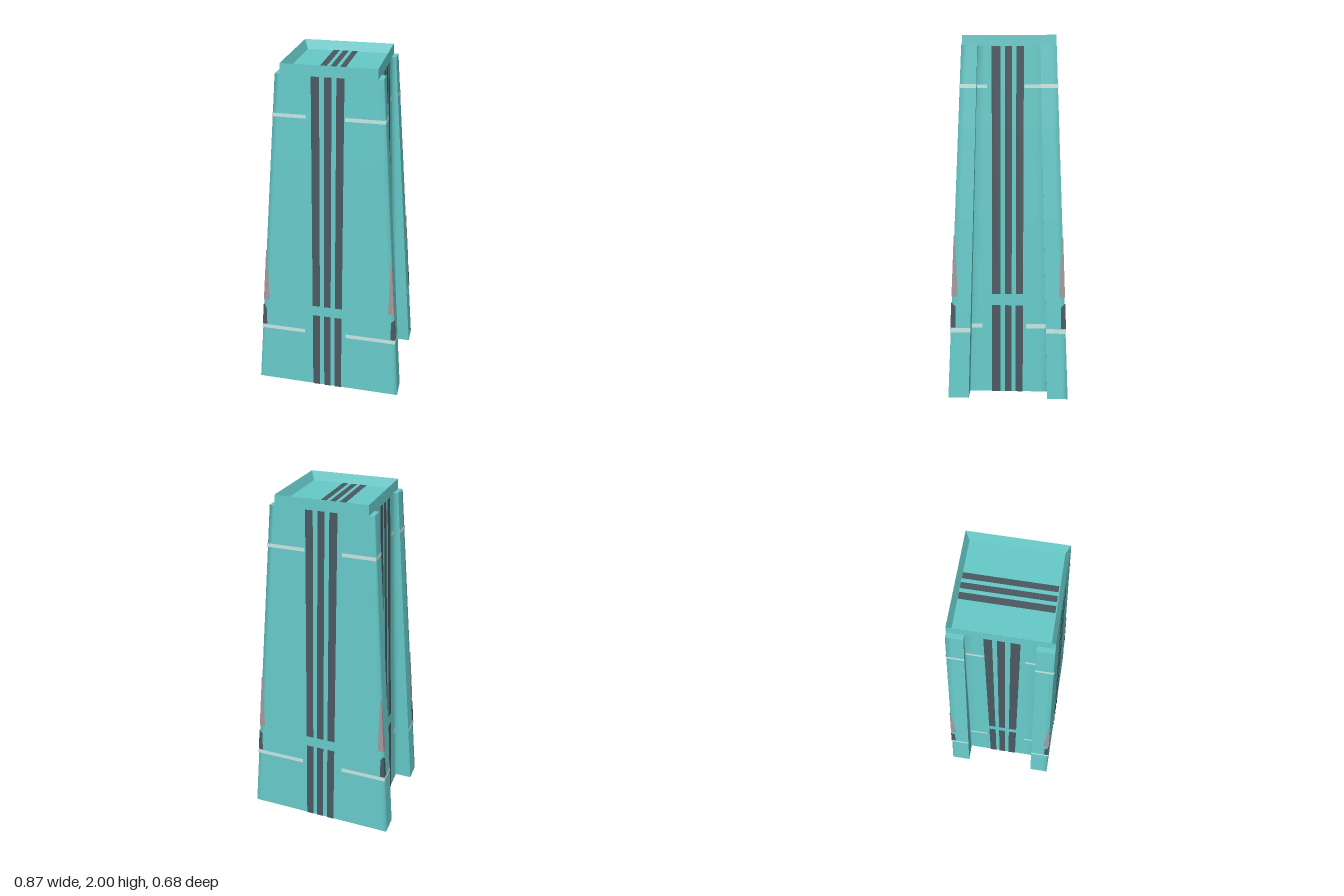
import * as THREE from 'three';

const mat = (name, color) => {
  const m = new THREE.MeshStandardMaterial({ color, side: THREE.DoubleSide });
  m.name = name;
  return m;
};

// Tapering half-widths of the tower as a function of height
const TOP = 2, SHOULDER = 1.945, ROOF = 1.95;
const core = (y) => 0.335 - 0.04 * y;       // square core, and front/back faces
const wing = (y) => 0.435 - 0.0782 * y;     // outer edge of the corner flanges
const inner = (y) => 0.22 - 0.0257 * y;     // inner edge of the corner flanges

export function createModel() {
  const group = new THREE.Group();
  const teal = mat('teal', 0x66cac9);
  const dark = mat('dark stripe', 0x4a5860);
  const pale = mat('pale line', 0xc6e4e1);
  const rose = mat('greyish rose', 0xa3969b);

  const add = (name, geometry, material) => {
    const mesh = new THREE.Mesh(geometry, material);
    mesh.name = name;
    group.add(mesh);
  };

  // Surface through rows of points, with normals shared along it
  const loft = (rows) => {
    const n = rows[0].length, index = [];
    for (let r = 0; r < rows.length - 1; r++) {
      for (let i = 0; i < n - 1; i++) {
        const a = r * n + i, b = a + 1, c = a + n, d = c + 1;
        index.push(a, b, d, a, d, c);
      }
    }
    const g = new THREE.BufferGeometry();
    g.setAttribute('position', new THREE.Float32BufferAttribute(rows.flat(2), 3));
    g.setIndex(index);
    g.computeVertexNormals();
    return g;
  };

  const levels = [0, 0.5, 1, 1.5, SHOULDER];
  for (const s of [1, -1]) {
    // Front and back walls wrapping softly round onto the flange edges
    add(s > 0 ? 'frontWall' : 'backWall', loft(levels.map((y) => {
      const w = wing(y), c = core(y), k = inner(y);
      const half = [[w, k], [w, c - 0.03], [w, c], [w - 0.025, c]];
      const mirror = half.map(([x, z]) => [-x, z]);
      return [...mirror, ...half.reverse()].map(([x, z]) => [x * s, y, z * s]);
    })), teal);

    // Recessed side web with the inner flange walls
    add(s > 0 ? 'leftWeb' : 'rightWeb', loft(levels.map((y) => {
      const w = wing(y), c = core(y), k = inner(y);
      return [[w, k], [c + 0.02, k], [c, k], [c, k - 0.04],
        [c, -k + 0.04], [c, -k], [c + 0.02, -k], [w, -k]]
        .map(([x, z]) => [x * s, y, z * s]);
    })), teal);

    // Flat caps on the flange tops
    for (const t of [1, -1]) {
      const y = SHOULDER, w = wing(y), c = core(y), k = inner(y);
      const cap = [[[s * c, y, t * k], [s * w, y, t * k]], [[s * c, y, t * c], [s * w, y, t * c]]];
      add('flangeCap', loft(s * t > 0 ? cap.reverse() : cap), teal);
    }
  }

  // Square rim, sloped lip and sunken roof
  const edge = (h, y, q) => [[h, h], [h, -h], [-h, -h], [-h, h], [h, h]]
    .slice(q, q + 2).map(([x, z]) => [x, y, z]);
  for (let q = 0; q < 4; q++) {
    add('rim', loft([edge(core(SHOULDER), SHOULDER, q), edge(core(TOP), TOP, q)]), teal);
    add('lip', loft([edge(core(TOP), TOP, q), edge(0.235, ROOF, q)]), teal);
  }
  add('roof', new THREE.PlaneGeometry(0.47, 0.47).rotateX(-Math.PI / 2).translate(0, ROOF, 0), teal);

  // Painted shapes: a convex outline [u, y] laid just outside and inside a wall
  const OFFSET = 0.003;
  const onFront = (s) => (o) => ([u, y]) => [u, y, s * (core(y) + o)];
  const onWeb = (s) => (o) => ([u, y]) => [s * (core(y) + o), y, u];
  const onFlange = (s) => (o) => ([u, y]) => [s * (wing(y) + o), y, u];
  const paint = (name, place, outline, material) => {
    for (const o of [OFFSET, -OFFSET]) {
      const g = new THREE.BufferGeometry();
      g.setAttribute('position', new THREE.Float32BufferAttribute(outline.map(place(o)).flat(), 3));
      const index = [];
      for (let i = 1; i < outline.length - 1; i++) index.push(0, i, i + 1);
      g.setIndex(index);
      g.computeVertexNormals();
      add(name, g, material);
    }
  };
  const rect = (u0, u1, y0, y1) => [[u0, y0], [u1, y0], [u1, y1], [u0, y1]];

  const frontBands = [[-0.092, -0.048], [-0.022, 0.017], [0.042, 0.084]];
  const sideBands = [[-0.081, -0.04], [-0.017, 0.021], [0.047, 0.094]];
  const heights = [[0, 0.505], [0.57, 1.942]];

  for (const s of [1, -1]) {
    // Triple dark stripes on all four walls
    for (const [y0, y1] of heights) {
      for (const [a, b] of frontBands) paint('wallStripe', onFront(s), rect(a, b, y0, y1), dark);
      for (const [a, b] of sideBands) paint('webStripe', onWeb(s), rect(a, b, y0, y1), dark);
    }

    // Pale horizontal lines: height, thickness, then where each half starts
    for (const [y, h, fNeg, fPos, sNeg, sPos] of [
      [0.385, 0.025, 0.14, 0.11, 0.1, 0.15],
      [1.727, 0.02, 0.12, 0.09, 0.085, 0.12],
    ]) {
      const y0 = y - h / 2, y1 = y + h / 2;
      for (const t of [1, -1]) {
        paint('wallLine', onFront(s), rect(t * (t > 0 ? fPos : fNeg), t * (wing(y) + OFFSET), y0, y1), pale);
        paint('webLine', onWeb(s), rect(t * (t > 0 ? sPos : sNeg), t * inner(y), y0, y1), pale);
        paint('flangeLine', onFlange(s), rect(t * inner(y), t * (core(y) + OFFSET), y0, y1), pale);
      }
    }

    // Tapered rose marks and dark blocks folded round each corner
    for (const t of [1, -1]) {
      const marks = [
        [onFront(s), wing, 0.358, 0.378],
        [onFlange(s), core, 0.28, 0.293],
      ];
      for (const [place, width, u, v] of marks) {
        const rim = (y) => width(y) + OFFSET;
        paint('cornerMark', place,
          [[t * u, 0.575], [t * rim(0.575), 0.575], [t * rim(0.91), 0.91], [t * (rim(0.91) - 0.007), 0.91]], rose);
        paint('cornerBlock', place,
          [[t * v, 0.4], [t * rim(0.4), 0.4], [t * rim(0.54), 0.54], [t * v, 0.52]], dark);
      }
    }
  }

  // Stripes across the sunken roof
  const onRoof = (o) => ([x, z]) => [x, ROOF + o, z];
  for (const [a, b] of [[-0.083, -0.047], [-0.027, 0.005], [0.025, 0.057]]) {
    paint('roofStripe', onRoof, rect(a, b, -0.234, 0.23), dark);
  }

  return group;
}
